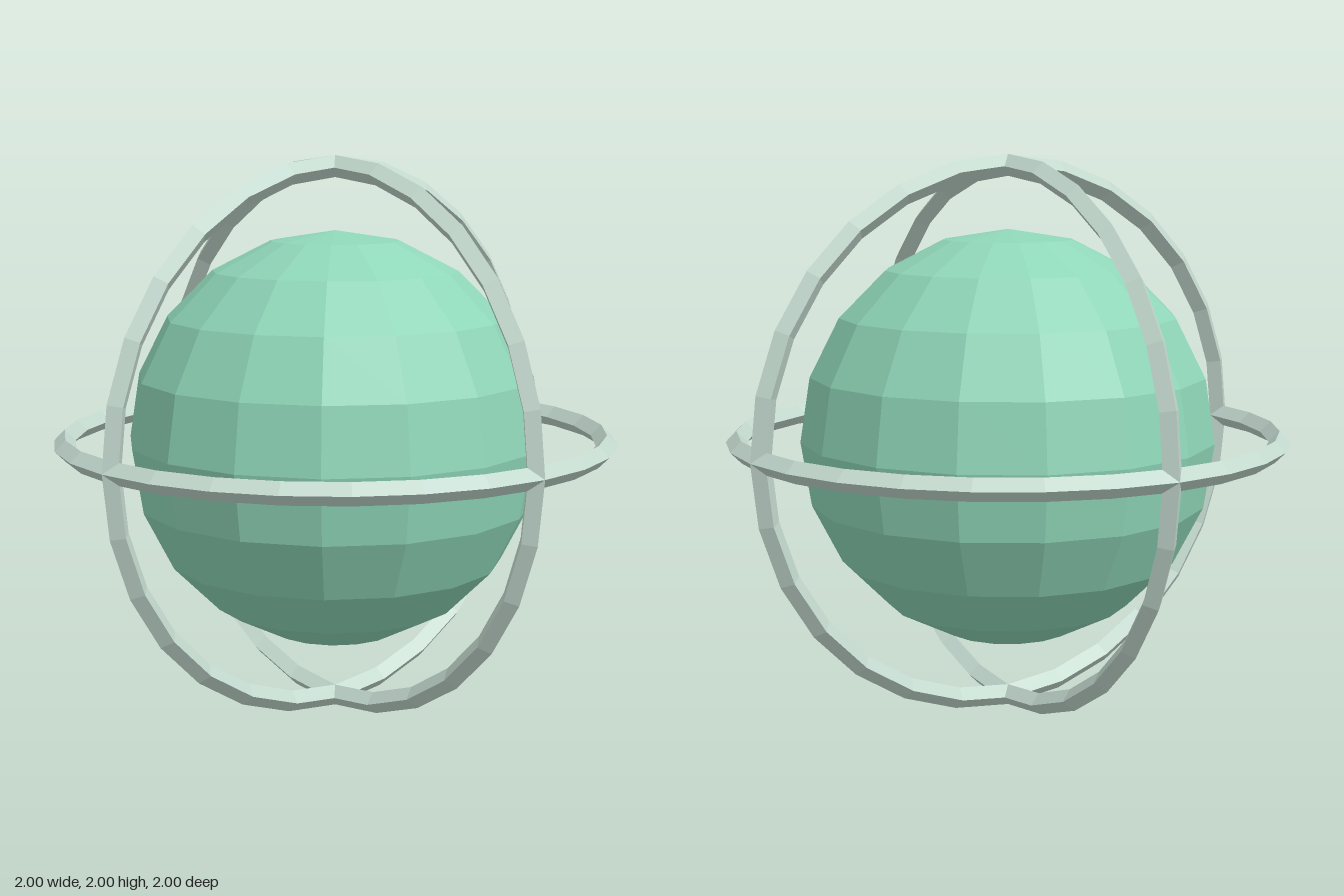
import * as THREE from 'three';

export function createModel() {
  const model = new THREE.Group();
  const coreMaterial = new THREE.MeshStandardMaterial({ color: 0x8fd6b8, flatShading: true });
  const ringMaterial = new THREE.MeshStandardMaterial({ color: 0xc3d9ce, flatShading: true });

  // Faceted core
  const core = new THREE.Mesh(new THREE.SphereGeometry(0.74, 16, 10), coreMaterial);
  core.name = 'core';
  core.position.y = 1;
  model.add(core);

  // Three crossing rings of diamond section, one in each main plane
  const tube = 0.038;
  const ringGeometry = new THREE.TorusGeometry(1 - tube, tube, 4, 28);
  const rings = [
    ['frontRing', 0, 0],
    ['sideRing', 0, Math.PI / 2],
    ['equatorRing', Math.PI / 2, 0],
  ];
  for (const [name, turnX, turnY] of rings) {
    const ring = new THREE.Mesh(ringGeometry, ringMaterial);
    ring.name = name;
    ring.position.y = 1;
    ring.rotation.set(turnX, turnY, 0);
    model.add(ring);
  }
  return model;
}
